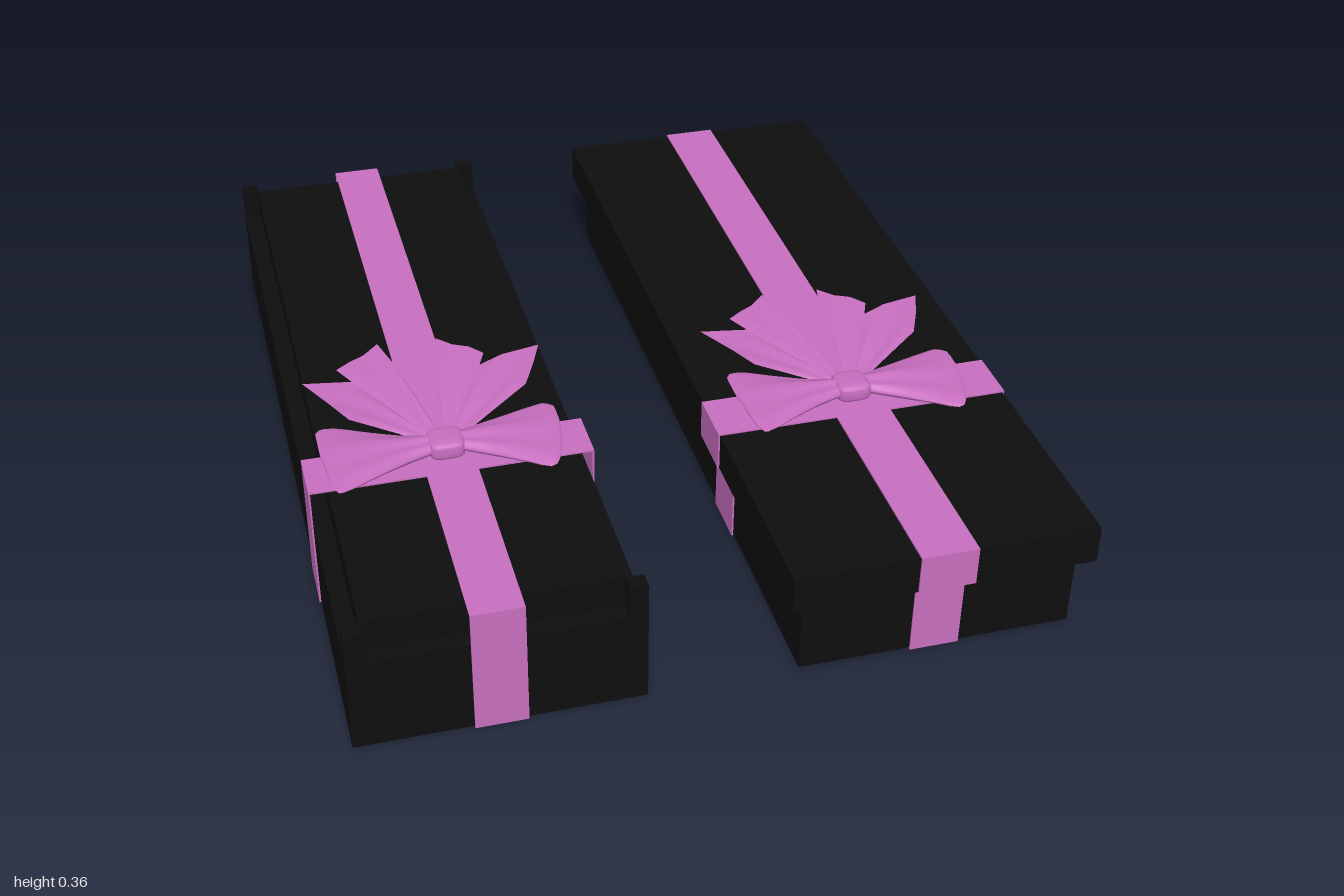
import * as THREE from 'three';

const black = new THREE.MeshStandardMaterial({ color: 0x0e0e0e });
black.name = 'black card';
const pink = new THREE.MeshStandardMaterial({ color: 0xc86fc0, side: THREE.DoubleSide });
pink.name = 'pink ribbon';
const T = 0.004; // ribbon thickness

// Box given by its limits on each axis
function block(parent, name, mat, [x0, x1], [y0, y1], [z0, z1]) {
  const m = new THREE.Mesh(new THREE.BoxGeometry(x1 - x0, y1 - y0, z1 - z0), mat);
  m.position.set((x0 + x1) / 2, (y0 + y1) / 2, (z0 + z1) / 2);
  m.name = name;
  parent.add(m);
}

// Two crossing ribbon bands wrapped round a box
function bands(parent, name, bx, by, bz, rx, rz, top, bottom) {
  const g = new THREE.Group();
  g.name = name;
  const ox = [bx[0] - T, bx[1] + T], oz = [bz[0] - T, bz[1] + T];
  const oy = [by[0] - (bottom ? T : 0), by[1] + (top ? T : 0)];
  block(g, 'frontBand', pink, rx, oy, [bz[1], oz[1]]);
  block(g, 'backBand', pink, rx, oy, [oz[0], bz[0]]);
  block(g, 'leftBand', pink, [bx[1], ox[1]], oy, rz);
  block(g, 'rightBand', pink, [ox[0], bx[0]], oy, rz);
  const flats = [];
  if (top) flats.push(['top', [by[1], oy[1]]]);
  if (bottom) flats.push(['bottom', [oy[0], by[0]]]);
  for (const [side, y] of flats) {
    block(g, side + 'LongBand', pink, rx, y, oz);
    block(g, side + 'CrossBand', pink, ox, y, rz);
  }
  parent.add(g);
}

// Surface through a grid of rows of points
function loft(parent, name, rows) {
  const n = rows[0].length, index = [];
  for (let i = 0; i < rows.length - 1; i++)
    for (let j = 0; j < n - 1; j++) {
      const a = i * n + j, b = a + 1, c = a + n, d = c + 1;
      index.push(a, b, c, b, d, c);
    }
  const geo = new THREE.BufferGeometry();
  geo.setAttribute('position', new THREE.Float32BufferAttribute(rows.flat(2), 3));
  geo.setIndex(index);
  geo.computeVertexNormals();
  const m = new THREE.Mesh(geo, pink);
  m.name = name;
  parent.add(m);
}

// Pleated tail fanning from the knot to a pointed far edge
function tail(parent, name, rootX0, rootX1, far, lift) {
  const rows = [];
  for (let i = 0; i <= 8; i++) {
    const t = i / 8;
    rows.push(far.map(([x, z], j) => {
      const rx = rootX0 + (rootX1 - rootX0) * j / (far.length - 1);
      const fold = (j % 2 ? 0.008 : -0.006) * Math.sin(Math.PI * Math.min(1, t * 0.8 + 0.1));
      const bend = 0.012 * Math.sin(Math.PI * t);
      return [rx + (x - rx) * t, 0.016 + lift * t + bend * 0.4 + fold, -0.03 + (z + 0.03) * t];
    }));
  }
  loft(parent, name, rows);
}

// Puffed loop: stations of [x, back z, front z, centre y, half thickness]
function loop(parent, name, stations) {
  const curve = (k) => new THREE.CatmullRomCurve3(
    stations.map((s) => new THREE.Vector3(s[0], s[k], s[k + 1])));
  const edge = curve(1), height = curve(3), rows = [];
  for (let i = 0; i <= 14; i++) {
    const e = edge.getPoint(i / 14), h = height.getPoint(i / 14);
    const row = [];
    for (let j = 0; j <= 28; j++) {
      const a = j / 28 * Math.PI * 2;
      const wrinkle = 1 + 0.22 * Math.cos(6 * a + 1.5) * Math.abs(Math.sin(a));
      row.push([e.x, h.y + h.z * Math.sin(a) * wrinkle,
        (e.y + e.z) / 2 + (e.z - e.y) / 2 * Math.cos(a)]);
    }
    rows.push(row);
  }
  loft(parent, name, rows);
}

function makeBow(x, y, z) {
  const bow = new THREE.Group();
  bow.name = 'bow';
  loop(bow, 'rightLoop', [
    [-0.03, -0.03, 0.03, 0.026, 0.016], [-0.09, -0.045, 0.05, 0.025, 0.019],
    [-0.17, -0.075, 0.095, 0.031, 0.018], [-0.235, -0.1, 0.135, 0.037, 0.012],
    [-0.262, -0.1, 0.145, 0.041, 0.008], [-0.282, -0.08, 0.01, 0.044, 0.003]]);
  loop(bow, 'leftLoop', [
    [0.03, -0.03, 0.03, 0.026, 0.016], [0.09, -0.05, 0.065, 0.025, 0.019],
    [0.16, -0.065, 0.12, 0.031, 0.017], [0.215, -0.075, 0.16, 0.037, 0.012],
    [0.24, -0.075, 0.12, 0.041, 0.008], [0.262, -0.055, 0.01, 0.044, 0.003]]);
  tail(bow, 'rightOuterTail', -0.04, -0.012,
    [[-0.2, -0.12], [-0.235, -0.185], [-0.285, -0.29], [-0.235, -0.275], [-0.17, -0.27]], 0.028);
  tail(bow, 'rightInnerTail', -0.03, 0.0,
    [[-0.2, -0.325], [-0.165, -0.345], [-0.13, -0.37], [-0.09, -0.405], [-0.06, -0.3]], 0.03);
  tail(bow, 'leftInnerTail', 0.0, 0.03,
    [[0.025, -0.28], [0.05, -0.395], [0.085, -0.365], [0.12, -0.34], [0.15, -0.31]], 0.03);
  tail(bow, 'leftOuterTail', 0.012, 0.04,
    [[0.13, -0.265], [0.19, -0.29], [0.285, -0.315], [0.255, -0.235], [0.22, -0.16]], 0.028);

  // Rounded knot in the middle
  const knot = new THREE.Mesh(new THREE.SphereGeometry(1, 20, 14), pink);
  const p = knot.geometry.attributes.position;
  const squash = (v) => Math.sign(v) * Math.pow(Math.abs(v), 0.5);
  for (let i = 0; i < p.count; i++) p.setXYZ(i, squash(p.getX(i)), squash(p.getY(i)), squash(p.getZ(i)));
  knot.geometry.computeVertexNormals();
  knot.scale.set(0.042, 0.023, 0.042);
  knot.position.y = 0.025;
  knot.name = 'knot';
  bow.add(knot);
  bow.position.set(x, y, z);
  return bow;
}

export function createModel() {
  const model = new THREE.Group();

  // Gift box with an inset top and raised corners
  const insetBox = new THREE.Group();
  insetBox.name = 'insetGiftBox';
  const x = [-0.825, -0.186], z = [-0.963, 0.963], in0 = 0.04;
  block(insetBox, 'boxBody', black, x, [T, 0.23], z);
  block(insetBox, 'insetTop', black, [x[0] + in0, x[1] - in0], [0.23, 0.307], [z[0] + in0, z[1] - in0]);
  for (const cx of [x[0], x[1] - in0])
    for (const cz of [z[0], z[1] - in0])
      block(insetBox, 'corner', black, [cx, cx + in0], [0.23, 0.307], [cz, cz + in0]);
  bands(insetBox, 'ribbon', x, [T, 0.307], z, [-0.565, -0.448], [0.35, 0.478], true, true);
  insetBox.add(makeBow(-0.507, 0.31, 0.4));
  model.add(insetBox);

  // Gift box with an overhanging lid
  const lidBox = new THREE.Group();
  lidBox.name = 'liddedGiftBox';
  const bx = [0.155, 0.79], bz = [-0.963, 0.963], lx = [0.121, 0.822], lz = [-0.996, 0.996];
  block(lidBox, 'boxBody', black, bx, [T, 0.2], bz);
  block(lidBox, 'lid', black, lx, [0.192, 0.283], lz);
  bands(lidBox, 'bodyRibbon', bx, [T, 0.192], bz, [0.413, 0.527], [0.35, 0.482], false, true);
  bands(lidBox, 'lidRibbon', lx, [0.192, 0.283], lz, [0.405, 0.537], [0.325, 0.462], true, false);
  lidBox.add(makeBow(0.466, 0.287, 0.385));
  model.add(lidBox);

  return model;
}
